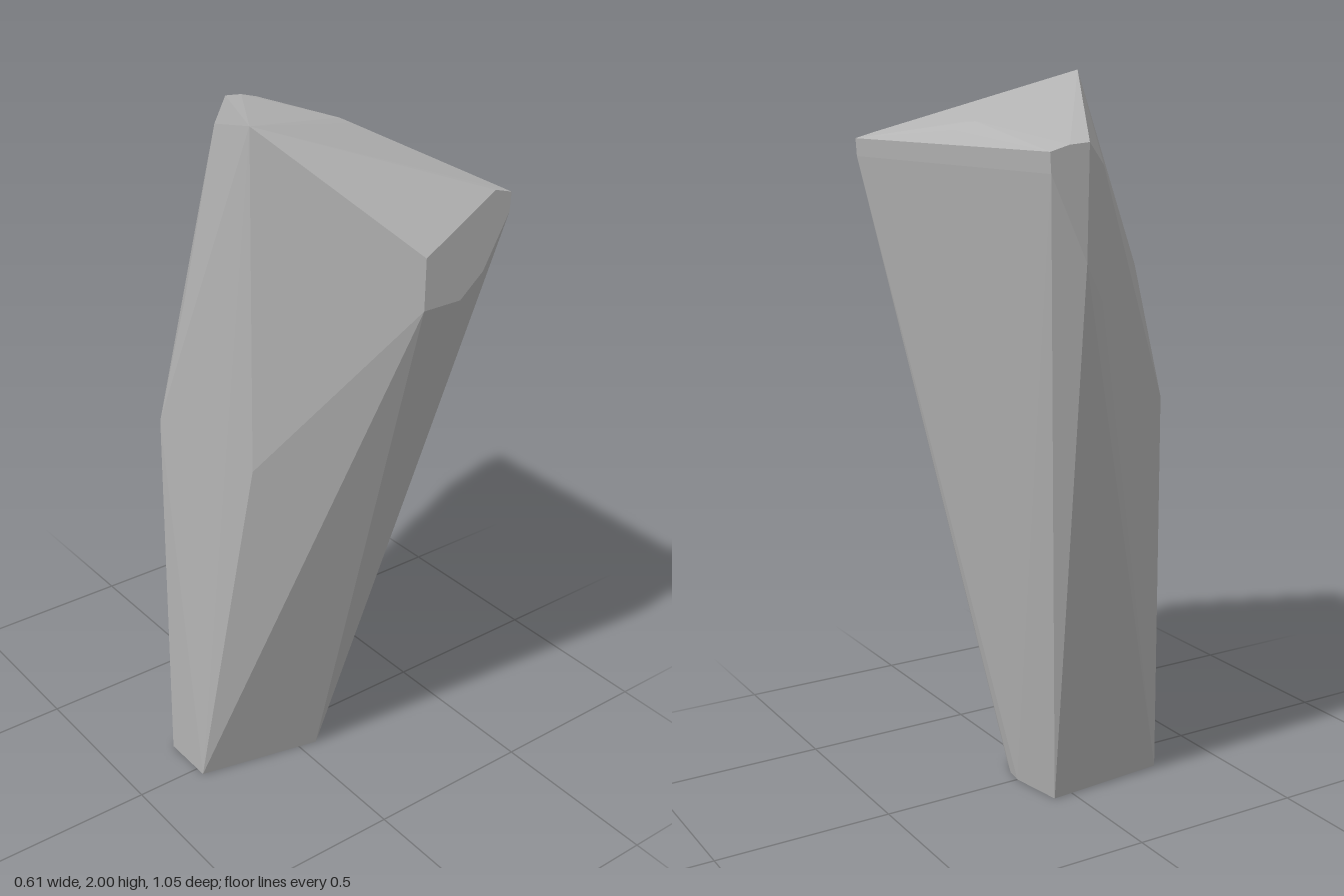
import * as THREE from 'three';
import { ConvexGeometry } from 'three/addons/geometries/ConvexGeometry.js';

// Places a flat 2D outline at a fixed height or depth
const atY = (y, outline) => outline.map(([x, z]) => new THREE.Vector3(x, y, z));
const atZ = (z, outline) => outline.map(([x, y]) => new THREE.Vector3(x, y, z));

export function createModel() {
  const group = new THREE.Group();
  const stone = new THREE.MeshStandardMaterial({ color: 0xb4b4b4 });
  stone.name = 'stone grey';

  // Narrow foot the shard stands on
  const foot = atY(0, [[-0.305, -0.13], [-0.305, 0.03], [0.055, 0.11], [0.08, 0.05], [0.087, 0], [0.06, -0.16]]);

  // Small cut facets at the front and back ends
  const frontCut = atZ(0.523, [[0.04, 1.70], [0.04, 1.566], [0.155, 1.566], [0.225, 1.625],
    [0.30, 1.76], [0.303, 1.81], [0.25, 1.825]]);
  const backCut = atZ(-0.523, [[0.20, 1.55], [0.195, 1.83], [0.25, 1.825], [0.303, 1.81], [0.30, 1.76]]);

  // Peak, top ridge and the corners of the left side
  const corners = [
    [-0.26, 2, 0.235], [-0.26, 1.1, 0.235],
    [-0.305, 1.11, -0.13], [-0.26, 1.475, -0.06],
    [0.12, 1.774, -0.47], [0.12, 1.45, -0.47],
    [0.235, 1.868, -0.055], [0.235, 1.866, 0], [0.268, 1.845, 0],
  ].map((p) => new THREE.Vector3(...p));

  // The faceted body wraps all of these
  const shard = new THREE.Mesh(new ConvexGeometry([...foot, ...frontCut, ...backCut, ...corners]), stone);
  shard.name = 'rockShard';
  group.add(shard);
  return group;
}
